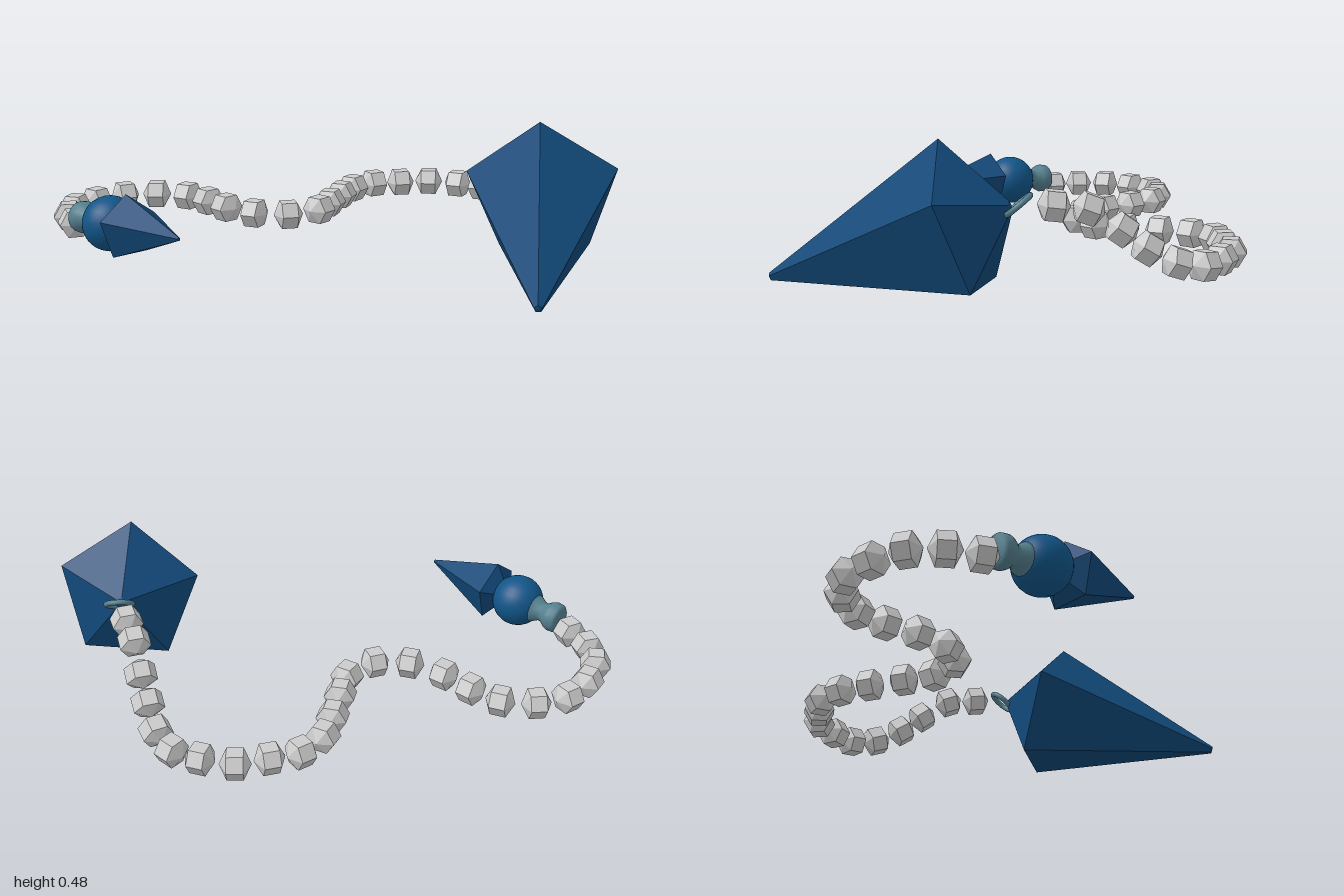
import * as THREE from 'three';

const v = (x, y, z) => new THREE.Vector3(x, y, z);
const mat = (color, flatShading = false) => new THREE.MeshStandardMaterial({ color, flatShading });
const lathe = (profile, sides) => new THREE.LatheGeometry(profile.map(([r, y]) => new THREE.Vector2(r, y)), sides);

// Turns an object's +y along "axis" and its +z as near as possible to "ref"
function orient(object, axis, ref) {
  const y = axis.clone().normalize();
  const x = new THREE.Vector3().crossVectors(y, ref).normalize();
  const z = new THREE.Vector3().crossVectors(x, y);
  object.quaternion.setFromRotationMatrix(new THREE.Matrix4().makeBasis(x, y, z));
}

export function createModel() {
  const group = new THREE.Group();
  const navy = mat(0x114878, true);
  const blue = mat(0x115588);
  const teal = mat(0x55808f);
  const stone = mat(0xcccccc, true);
  const up = v(0, 1, 0);

  function add(name, geometry, material, position, axis, ref = up) {
    const mesh = new THREE.Mesh(geometry, material);
    mesh.name = name;
    mesh.position.copy(position);
    orient(mesh, axis, ref);
    group.add(mesh);
    return mesh;
  }

  // Five-sided crystal: long point below, short cap above its widest ring
  const crystal = lathe([[0, -0.69], [0.014, -0.688], [0.27, 0], [0.02, 0.16], [0, 0.165]], 5);
  const pendulumAxis = v(-0.379, 0.31, -0.873);
  add('pendulumCrystal', crystal, navy, v(0.728, 0.229, -0.134), pendulumAxis, v(0.012, 0.261, 0.064));

  // Ring joining the crystal to the chain
  const ring = new THREE.Mesh(new THREE.TorusGeometry(0.048, 0.01, 10, 28), teal);
  ring.name = 'hangingRing';
  ring.position.set(0.66, 0.285, -0.30);
  ring.quaternion.setFromUnitVectors(v(0, 0, 1), v(0.3, 0.75, 0.55).normalize());
  group.add(ring);

  // Bead centres as x, z, and a height where the chain lifts off the ground
  const beads = [
    [0.58, -0.38, 0.28], [0.50, -0.46, 0.265], [0.43, -0.54, 0.195], [0.37, -0.60, 0.13], [0.30, -0.67, 0.08],
    [0.21, -0.72], [0.10, -0.72], [-0.02, -0.695], [-0.11, -0.62], [-0.19, -0.545], [-0.22, -0.43],
    [-0.20, -0.31], [-0.17, -0.18], [-0.145, -0.065], [-0.20, 0.06], [-0.32, 0.11], [-0.46, 0.095],
    [-0.58, 0.05], [-0.70, 0.025], [-0.82, 0.065], [-0.91, 0.15], [-0.945, 0.275], [-0.94, 0.40],
    [-0.88, 0.50], [-0.79, 0.57],
  ].map(([x, z, y = 0.06]) => v(x, y, z));

  // Faceted beads strung along the path, flat facet upwards
  const bead = lathe([[0, -0.055], [0.055, -0.029], [0.055, 0.029], [0, 0.055]], 6);
  bead.rotateY(Math.PI / 6);
  beads.forEach((p, i) => {
    const next = beads[Math.min(i + 1, beads.length - 1)];
    const prev = beads[Math.max(i - 1, 0)];
    add('chainBead', bead, stone, p, next.clone().sub(prev));
  });

  // End fob: waisted connector, round ball and small crystal on one axis
  const fobAxis = v(0.963, 0.06, 0.265).normalize();
  const ball = v(-0.56, 0.105, 0.635);
  const along = (d) => ball.clone().addScaledVector(fobAxis, d);
  const collar = lathe([
    [0, -0.065], [0.045, -0.065], [0.056, -0.055], [0.058, -0.03], [0.052, -0.015],
    [0.038, 0.005], [0.038, 0.02], [0.05, 0.04], [0.058, 0.055], [0, 0.06],
  ], 20);
  add('fobCollar', collar, teal, along(-0.13), fobAxis);
  add('fobBall', new THREE.SphereGeometry(0.098, 28, 18), blue, ball, fobAxis);
  const small = add('fobCrystal', crystal, navy, along(0.11), fobAxis.clone().negate());
  small.scale.setScalar(0.43);

  return group;
}
